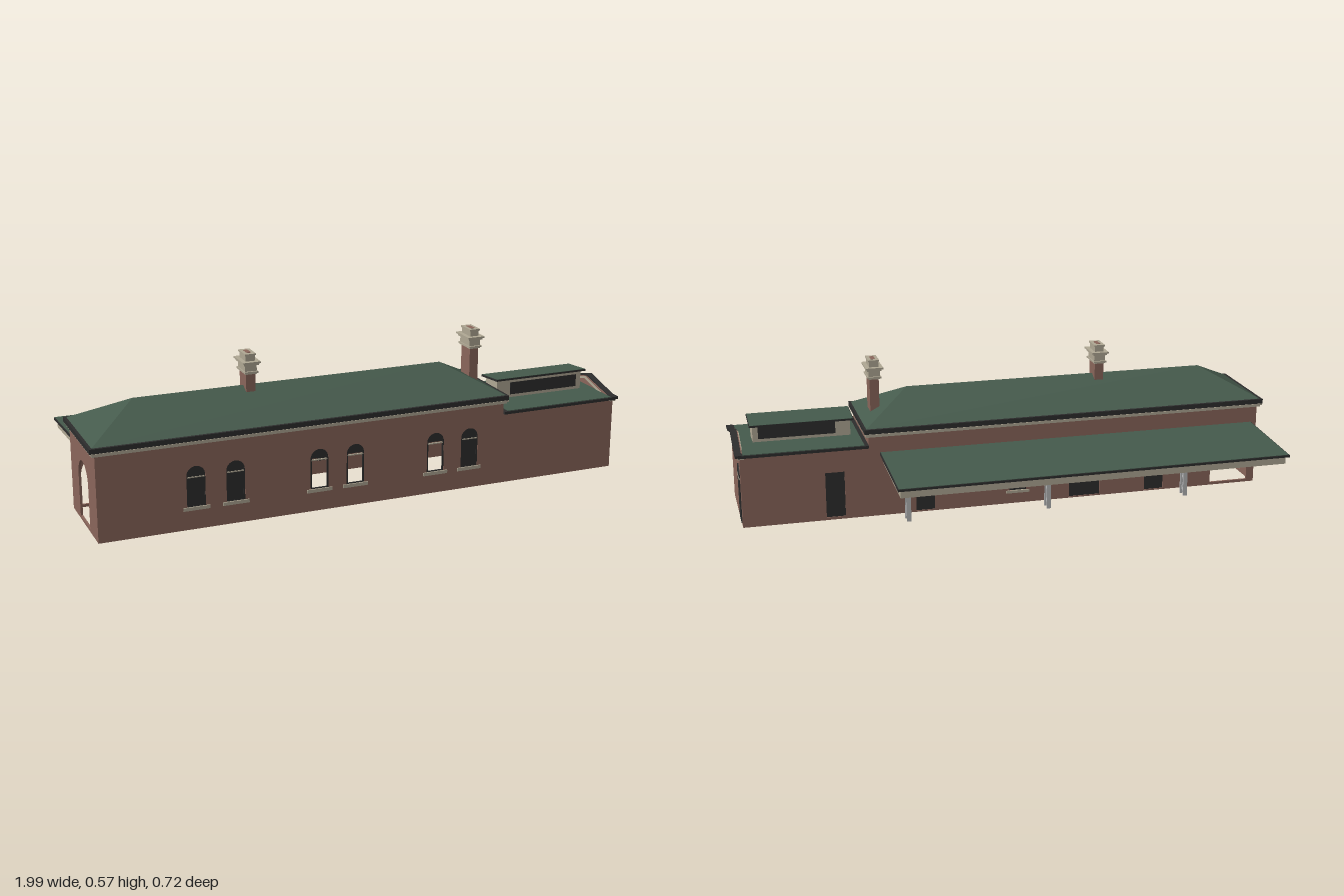
import * as THREE from 'three';

const mat = (name, color, side = THREE.FrontSide) => {
  const m = new THREE.MeshStandardMaterial({ color, side });
  m.name = name;
  return m;
};

export function createModel() {
  const root = new THREE.Group();
  root.name = 'stationBuilding';
  const brick = mat('brick', 0x8a665b);
  const green = mat('roofGreen', 0x455a4c, THREE.DoubleSide);
  const dark = mat('darkTrim', 0x2d2d2d);
  const cream = mat('creamTrim', 0xb0a894);
  const iron = mat('paleIron', 0xb4b5b6);

  const add = (name, geo, m, parent = root) => {
    const mesh = new THREE.Mesh(geo, m);
    mesh.name = name;
    parent.add(mesh);
    return mesh;
  };
  // Box given by its limits on each axis
  const box = (name, m, x0, x1, y0, y1, z0, z1, parent) =>
    add(name, new THREE.BoxGeometry(x1 - x0, y1 - y0, z1 - z0)
      .translate((x0 + x1) / 2, (y0 + y1) / 2, (z0 + z1) / 2), m, parent);
  const poly = pts => new THREE.Shape(pts.map(p => new THREE.Vector2(...p)));
  const slab = (shape, depth, z) =>
    new THREE.ExtrudeGeometry(shape, { depth, bevelEnabled: false, curveSegments: 10 }).translate(0, 0, z);
  // Shape drawn in (z, y), extruded along x from x0 to x1
  const across = (shape, x0, x1) => slab(shape, x1 - x0, -x1).rotateY(-Math.PI / 2);
  // Opening outline with a round or flat head
  const opening = (c, w, y0, y1, round = true) => {
    const r = w / 2;
    if (!round) return poly([[c - r, y0], [c + r, y0], [c + r, y1], [c - r, y1]]);
    const s = new THREE.Shape();
    s.moveTo(c - r, y0);
    s.lineTo(c + r, y0);
    s.lineTo(c + r, y1 - r);
    s.absarc(c, y1 - r, r, 0, Math.PI, false);
    s.closePath();
    return s;
  };

  // Long walls, stepped down over the low wing
  const longWall = () => poly([[-0.98, 0.02], [0.98, 0.02], [0.98, 0.288], [0.52, 0.288], [0.52, 0.335], [-0.98, 0.335]]);
  const front = longWall();
  const windows = [[-0.64, 1], [-0.5, 1], [-0.195, 0], [-0.06, 0], [0.25, 0], [0.385, 1]];
  for (const [x, glazed] of windows) {
    front.holes.push(opening(x, 0.066, 0.1, 0.245));
    const g = new THREE.Group();
    g.name = 'frontWindow';
    root.add(g);
    const frame = opening(x, 0.066, 0.1, 0.245);
    frame.holes.push(opening(x, 0.056, 0.104, 0.24));
    add('windowFrame', slab(frame, 0.006, 0.338), dark, g);
    const head = new THREE.Shape();
    head.absarc(x, 0.212, 0.029, 0, Math.PI, false);
    add('fanlight', slab(head, 0.004, 0.339), dark, g);
    box('transom', cream, x - 0.03, x + 0.03, 0.204, 0.208, 0.339, 0.345, g);
    if (glazed) box('sash', dark, x - 0.03, x + 0.03, 0.1, 0.214, 0.339, 0.343, g);
    box('sill', cream, x - 0.047, x + 0.047, 0.089, 0.101, 0.338, 0.349, g);
  }
  add('frontWall', slab(front, 0.008, 0.337), brick);

  const back = longWall();
  const doors = [[0.645, 0.07, 0.03, 0.2, false], [0.315, 0.07, 0.025, 0.235, true], [-0.035, 0.065, 0.07, 0.225, true],
    [-0.294, 0.12, 0.025, 0.225, false], [-0.57, 0.075, 0.025, 0.235, true]];
  for (const d of doors) {
    back.holes.push(opening(...d));
    add('platformDoor', slab(opening(...d), 0.004, -0.002), dark);
  }
  box('platformSill', cream, -0.08, 0.01, 0.06, 0.07, -0.009, 0.002);
  back.holes.push(opening(-0.875, 0.15, 0.03, 0.215));
  add('backWall', slab(back, 0.008, -0.005), brick);

  // End walls and cross walls
  const porchEnd = poly([[-0.004, 0.02], [0.344, 0.02], [0.344, 0.335], [-0.004, 0.335]]);
  porchEnd.holes.push(opening(0.168, 0.135, 0.03, 0.25));
  add('porchEndWall', across(porchEnd, -0.98, -0.972), brick);
  box('porchInnerWall', brick, -0.774, -0.766, 0.02, 0.335, 0.002, 0.338);
  box('upperCrossWall', brick, 0.51, 0.519, 0.27, 0.335, 0, 0.34);
  const gable = poly([[-0.004, 0.02], [0.344, 0.02], [0.344, 0.288], [0.17, 0.328], [-0.004, 0.288]]);
  add('gableWall', across(gable, 0.968, 0.98), brick);

  // Door with fanlight in the gable end
  box('endDoor', dark, 0.978, 0.983, 0.03, 0.19, 0.02, 0.09);
  const fan = new THREE.Shape();
  fan.absellipse(0.055, 0.2, 0.039, 0.044, 0, Math.PI, false);
  add('endFanlight', across(fan, 0.978, 0.983), dark);
  box('endTransom', cream, 0.978, 0.984, 0.195, 0.199, 0.015, 0.095);

  // Hipped main roof over a stepped cornice
  box('creamCornice', cream, -0.99, 0.53, 0.323, 0.33, -0.013, 0.352);
  box('creamCorniceTop', cream, -0.995, 0.533, 0.33, 0.336, -0.02, 0.358);
  box('mainGutter', dark, -0.998, 0.535, 0.336, 0.353, -0.018, 0.356);
  const P = [[-0.988, 0.353, 0.346], [0.527, 0.353, 0.346], [0.527, 0.353, -0.008], [-0.988, 0.353, -0.008],
    [-0.8, 0.451, 0.169], [0.345, 0.451, 0.169]];
  const faces = [0, 1, 5, 0, 5, 4, 1, 2, 5, 2, 3, 4, 2, 4, 5, 3, 0, 4];
  const hip = new THREE.BufferGeometry();
  hip.setAttribute('position', new THREE.Float32BufferAttribute(faces.flatMap(i => P[i]), 3));
  hip.computeVertexNormals();
  add('mainRoof', hip, green);

  // Flat roof of the low wing, closed by a gable coping
  box('wingGutter', dark, 0.52, 0.985, 0.283, 0.293, -0.016, 0.356);
  box('wingRoof', green, 0.535, 0.968, 0.287, 0.295, -0.011, 0.351);
  const coping = (lo, hi, e) => poly([[-e, 0.284 + lo], [0.02, 0.284 + lo], [0.17, 0.324 + lo], [0.32, 0.284 + lo], [0.34 + e, 0.284 + lo],
    [0.34 + e, 0.284 + hi], [0.32, 0.284 + hi], [0.17, 0.324 + hi], [0.02, 0.284 + hi], [-e, 0.284 + hi]]);
  add('gableCreamBand', across(coping(-0.006, 0.002, 0.012), 0.965, 0.988), cream);
  add('gableCoping', across(coping(0.002, 0.011, 0.017), 0.972, 0.996), dark);

  // Lantern with louvres and a tilted lid
  const lid = (o, t) => poly([[0.108, 0.355 + o], [0.226, 0.366 + o], [0.226, 0.366 + o + t], [0.108, 0.355 + o + t]]);
  add('lanternBox', across(poly([[0.125, 0.29], [0.21, 0.29], [0.21, 0.365], [0.125, 0.357]]), 0.565, 0.92), cream);
  for (const z of [0.2085, 0.1235]) box('louvre', dark, 0.62, 0.9, 0.306, 0.352, z, z + 0.003);
  add('lanternLidEdge', across(lid(0, 0.007), 0.555, 0.932), dark);
  add('lanternLid', across(lid(0.007, 0.001), 0.557, 0.93), green);

  // Chimneys: half x, half z, bottom, top of each course
  const courses = [[0.021, 0.04, 0.497, 0.501], [0.025, 0.044, 0.501, 0.507], [0.021, 0.037, 0.507, 0.529],
    [0.027, 0.044, 0.529, 0.536], [0.032, 0.05, 0.536, 0.542], [0.017, 0.033, 0.542, 0.562], [0.02, 0.036, 0.562, 0.568]];
  for (const [x, base] of [[-0.39, 0.42], [0.47, 0.35]]) {
    const g = new THREE.Group();
    g.name = 'chimney';
    g.position.set(x, 0, 0.168);
    root.add(g);
    box('chimneyShaft', brick, -0.017, 0.017, base, 0.5, -0.033, 0.033, g);
    for (const [a, b, y0, y1] of courses) box('chimneyCourse', cream, -a, a, y0, y1, -b, b, g);
    box('flue', brick, -0.008, 0.008, 0.565, 0.569, -0.02, 0.02, g);
  }

  // Sloping platform canopy
  const layer = (z0, a0, b0, z1, a1, b1) => poly([[z0, a0], [z1, a1], [z1, b1], [z0, b0]]);
  add('canopyFascia', across(layer(-0.345, 0.207, 0.236, -0.005, 0.225, 0.252), -0.95, 0.47), cream);
  add('canopyEdge', across(layer(-0.358, 0.235, 0.243, -0.006, 0.252, 0.261), -0.96, 0.48), dark);
  add('canopyRoof', across(layer(-0.355, 0.243, 0.2445, -0.006, 0.261, 0.2625), -0.957, 0.477), green);

  // Lattice posts with pierced curved brackets
  const arm = new THREE.Shape();
  arm.moveTo(-0.043, 0.148);
  arm.bezierCurveTo(-0.043, 0.19, -0.07, 0.212, -0.12, 0.212);
  arm.lineTo(-0.335, 0.206);
  arm.lineTo(-0.335, 0.212);
  arm.lineTo(-0.05, 0.226);
  arm.bezierCurveTo(-0.025, 0.215, -0.008, 0.185, -0.008, 0.148);
  for (const [z, y] of [[-0.028, 0.155], [-0.032, 0.18], [-0.05, 0.203], [-0.078, 0.216]]) {
    const h = new THREE.Path();
    h.absarc(z, y, 0.0035, 0, Math.PI * 2, true);
    arm.holes.push(h);
  }
  for (const x of [-0.685, -0.145, 0.385]) {
    const g = new THREE.Group();
    g.name = 'canopyBracket';
    root.add(g);
    add('curvedArm', across(arm, x - 0.004, x + 0.004), iron, g);
    for (const z of [-0.044, -0.013]) box('postUpright', iron, x - 0.008, x + 0.008, 0, 0.15, z, z + 0.006, g);
    for (let i = 0; i < 6; i++) {
      const brace = new THREE.BoxGeometry(0.006, 0.004, 0.037).rotateX(i % 2 ? 0.75 : -0.75);
      add('postBrace', brace.translate(x, 0.014 + i * 0.0245, -0.0255), iron, g);
    }
  }
  return root;
}
